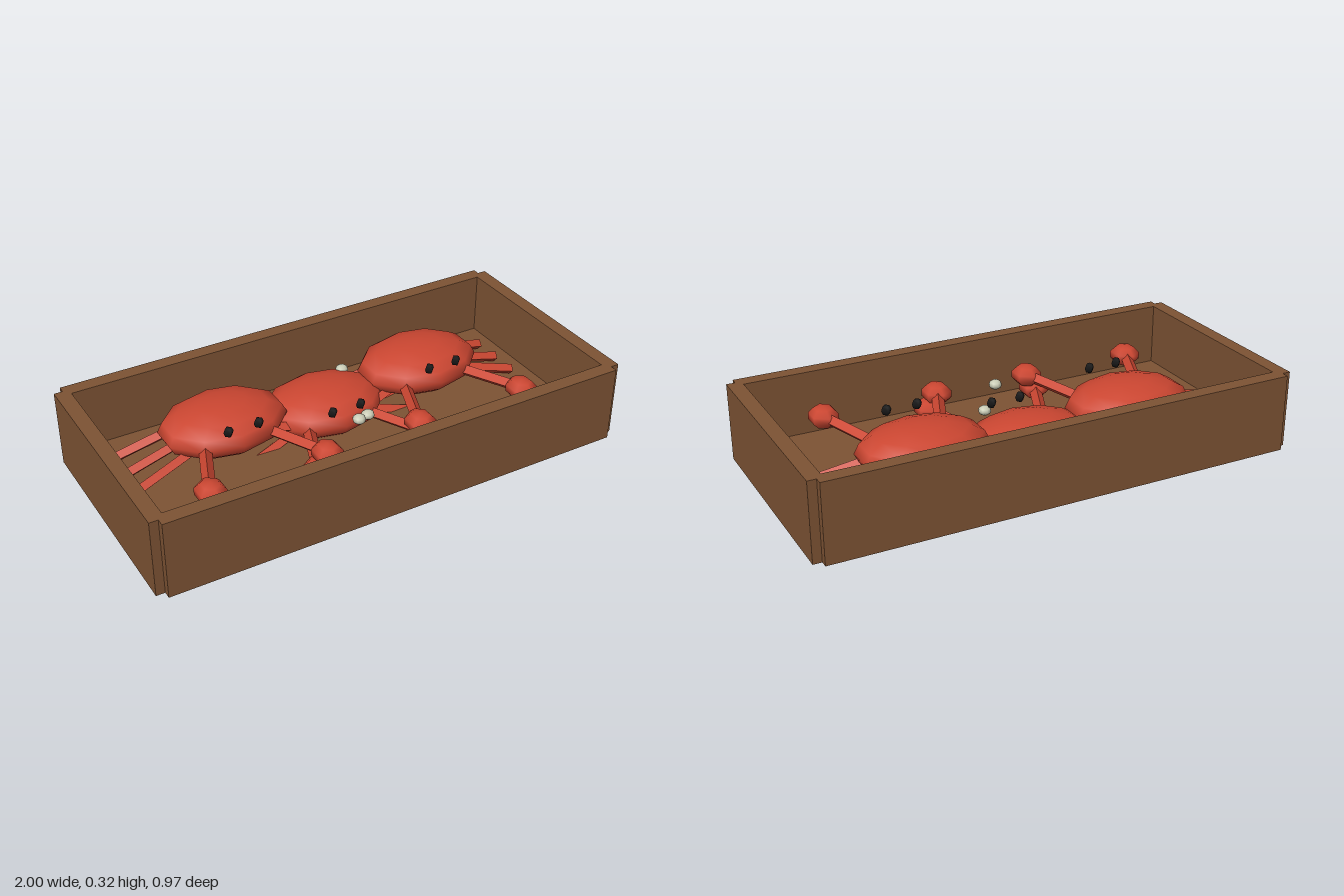
import * as THREE from 'three';

const mat = (name, color, flatShading = false) => {
  const m = new THREE.MeshStandardMaterial({ color, flatShading });
  m.name = name;
  return m;
};

export function createModel() {
  const model = new THREE.Group();
  model.name = 'crabCrate';
  const wood = mat('wood', 0x7d5334);
  const shell = mat('redShell', 0xcb4631);
  const black = mat('eyeBlack', 0x1a1a1a);
  const pearl = mat('paleBubble', 0xcaccb6);

  const add = (parent, name, geometry, material) => {
    const mesh = new THREE.Mesh(geometry, material);
    mesh.name = name;
    parent.add(mesh);
    return mesh;
  };

  // Low-poly ellipsoid with corners on the z axis
  const ellipsoid = (rx, ry, rz, sides, rings) =>
    new THREE.SphereGeometry(1, sides, rings).rotateY(Math.PI / 2).scale(rx, ry, rz);

  // Straight four-sided limb between two points
  const limb = (parent, name, a, b, radius) => {
    const from = new THREE.Vector3(...a), to = new THREE.Vector3(...b);
    const dir = to.clone().sub(from);
    const geo = new THREE.CylinderGeometry(radius, radius, dir.length(), 4).toNonIndexed();
    geo.computeVertexNormals();
    const mesh = add(parent, name, geo, shell);
    // Aim along the limb while keeping one ridge on top
    const y = dir.normalize();
    const x = new THREE.Vector3().crossVectors(y, new THREE.Vector3(0, 1, 0)).normalize();
    const z = new THREE.Vector3().crossVectors(x, y);
    mesh.quaternion.setFromRotationMatrix(new THREE.Matrix4().makeBasis(x, y, z));
    mesh.position.copy(from).add(to).multiplyScalar(0.5);
  };

  // Crate walls: notched outline with a rectangular opening
  const H = 0.32, X = 1, Z = 0.485, nx = 0.965, nz = 0.455, ix = 0.94, iz = 0.425;
  const v = (x, y) => new THREE.Vector2(x, y);
  const outline = new THREE.Shape([
    v(-nx, -Z), v(nx, -Z), v(nx, -nz), v(X, -nz), v(X, nz), v(nx, nz),
    v(nx, Z), v(-nx, Z), v(-nx, nz), v(-X, nz), v(-X, -nz), v(-nx, -nz),
  ]);
  outline.holes.push(new THREE.Path([v(-ix, -iz), v(-ix, iz), v(ix, iz), v(ix, -iz)]));
  const walls = new THREE.ExtrudeGeometry(outline, { depth: H, bevelEnabled: false });
  add(model, 'crateWalls', walls.rotateX(-Math.PI / 2), wood);
  add(model, 'crateFloor', new THREE.BoxGeometry(2 * ix, 0.06, 2 * iz), wood).position.y = 0.03;

  // Crab, with its origin at the middle of the body height
  const makeCrab = (x, y) => {
    const crab = new THREE.Group();
    crab.name = 'crab';
    crab.position.set(x, y, 0);
    add(crab, 'body', ellipsoid(0.263, 0.1, 0.193, 10, 8), shell).position.z = -0.143;
    for (const s of [-1, 1]) {
      const eye = add(crab, 'eye', ellipsoid(0.021, 0.023, 0.021, 4, 4), black);
      eye.position.set(s * 0.063, 0.085, 0.045);
      limb(crab, 'arm', [s * 0.13, -0.01, -0.03], [s * 0.23, 0.01, 0.22], 0.025);
      const claw = add(crab, 'claw', ellipsoid(0.062, 0.045, 0.072, 6, 5), shell);
      claw.position.set(s * 0.24, 0.012, 0.255);
      // Three walking legs: inner z, outer z
      for (const [zi, zo] of [[-0.25, -0.265], [-0.16, -0.145], [-0.08, -0.028]]) {
        limb(crab, 'leg', [s * 0.14, -0.035, zi], [s * 0.405, -0.1, zo], 0.023);
      }
    }
    model.add(crab);
  };
  makeCrab(-0.445, 0.187);
  makeCrab(0, 0.125);
  makeCrab(0.445, 0.187);

  // Small floating bubbles
  for (const p of [[0.14, 0.195, -0.235], [0.08, 0.17, 0.073], [-0.012, 0.23, 0.16]]) {
    add(model, 'bubble', ellipsoid(0.027, 0.02, 0.027, 8, 6), pearl).position.set(...p);
  }
  return model;
}
